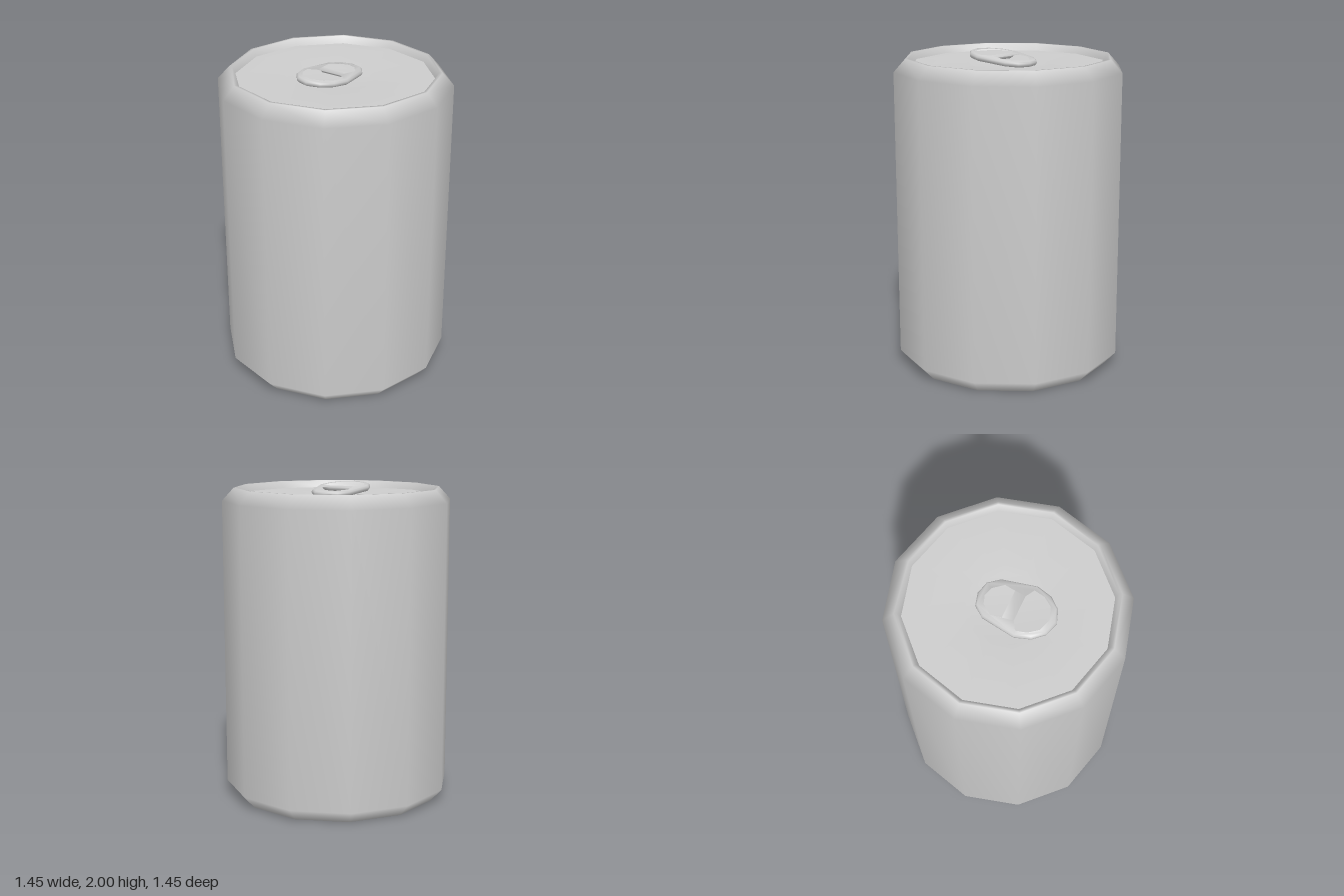
import * as THREE from 'three';
import { toCreasedNormals } from 'three/addons/utils/BufferGeometryUtils.js';

const SIDES = 12;
const material = new THREE.MeshStandardMaterial({ color: 0xcccccc });

function part(name, geometry) {
  const mesh = new THREE.Mesh(geometry, material);
  mesh.name = name;
  return mesh;
}

function lathe(profile) {
  return new THREE.LatheGeometry(profile.map(([r, y]) => new THREE.Vector2(r, y)), SIDES);
}

// Closed outline from its right half, given as [x, z] pairs and mirrored in x
function mirrored(half) {
  const left = half.filter(([x]) => x > 0).reverse().map(([x, z]) => [-x, z]);
  return [...half, ...left].map(([x, z]) => new THREE.Vector2(x, -z));
}

export function createModel() {
  const group = new THREE.Group();
  group.name = 'drinkCan';

  // Body: flat base, chamfered ends and the lip down to the lid
  group.add(part('body', lathe([
    [0, 0], [0.65, 0], [0.723, 0.08], [0.723, 1.9], [0.65, 1.98], [0.632, 1.98], [0.612, 1.935],
  ])));

  // Lid with a shallow round recess below the tab
  group.add(part('lid', lathe([[0.612, 1.935], [0.26, 1.935], [0.225, 1.912], [0, 1.912]])));

  // Pull tab: a tapered plate with two openings and bevelled edges
  const tabShape = new THREE.Shape(mirrored([
    [0, -0.19], [0.075, -0.17], [0.125, -0.105], [0.165, 0.11],
    [0.137, 0.205], [0.08, 0.27], [0, 0.297],
  ]));
  const backOpening = [[0, -0.153], [0.055, -0.135], [0.106, -0.07], [0.094, 0]];
  const frontOpening = [[0.085, 0.072], [0.14, 0.105], [0.125, 0.175], [0.08, 0.235], [0, 0.262]];
  for (const half of [backOpening, frontOpening]) tabShape.holes.push(new THREE.Path(mirrored(half)));

  const bevel = 0.01;
  const thickness = 0.034;
  const tabGeometry = new THREE.ExtrudeGeometry(tabShape, {
    depth: thickness - 2 * bevel,
    bevelSize: bevel,
    bevelThickness: bevel,
    bevelOffset: 0,
    bevelSegments: 1,
    steps: 1,
  });
  // Put the top face at the local origin and lay the plate flat
  tabGeometry.translate(0, 0, bevel - thickness);
  tabGeometry.rotateX(-Math.PI / 2);
  const tab = part('pullTab', toCreasedNormals(tabGeometry, 1));
  tab.scale.set(0.96, 1, 0.97);
  tab.rotation.x = -0.08;
  tab.position.y = 1.977;
  group.add(tab);

  return group;
}
